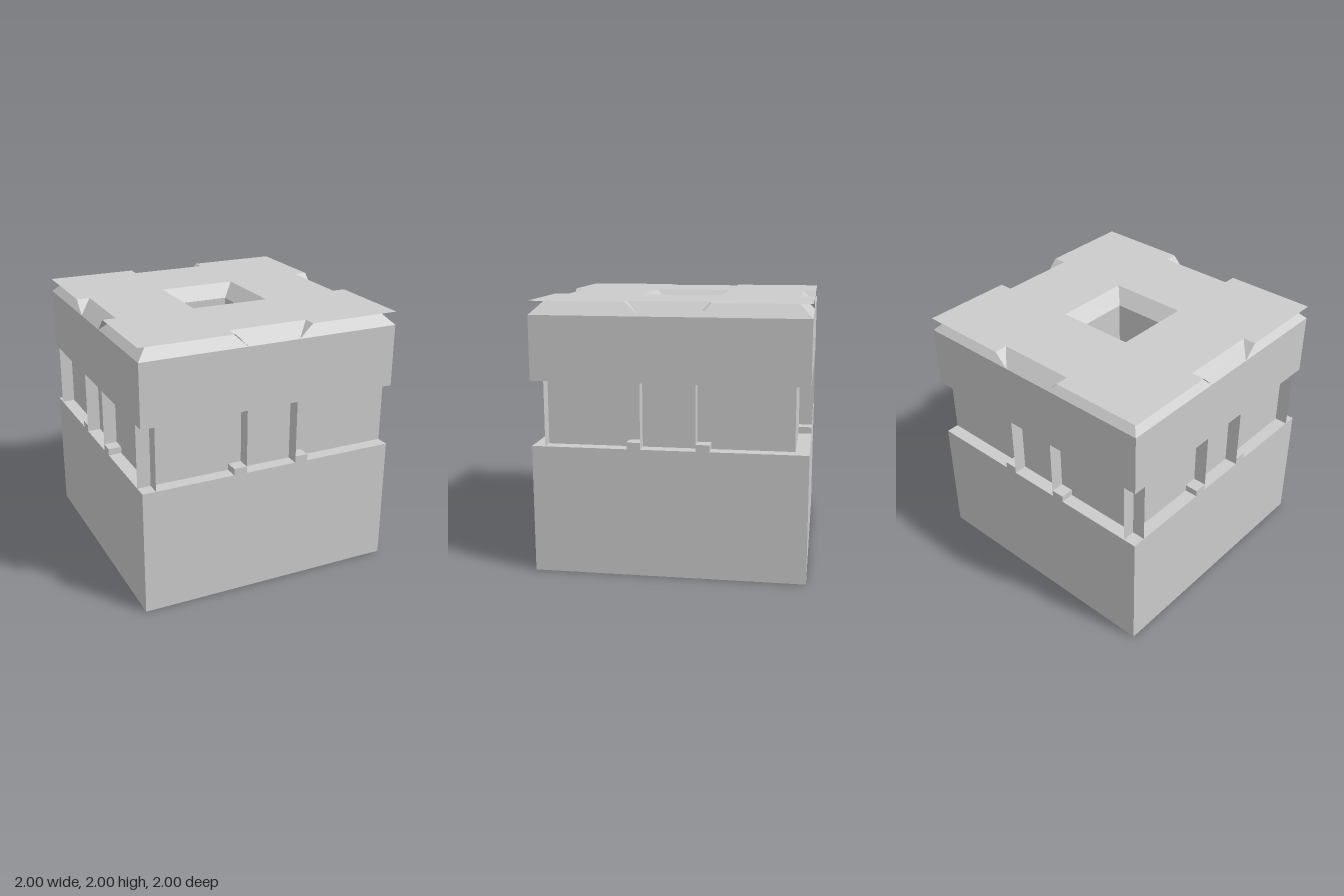
import * as THREE from 'three';

const solid = new THREE.MeshStandardMaterial({ color: 0xcccccc, flatShading: true });
const thin = new THREE.MeshStandardMaterial({ color: 0xcccccc, flatShading: true, side: THREE.DoubleSide });

function add(parent, name, geometry, material, x = 0, y = 0, z = 0) {
  const mesh = new THREE.Mesh(geometry, material);
  mesh.name = name;
  mesh.position.set(x, y, z);
  parent.add(mesh);
  return mesh;
}

function square(half, Type = THREE.Shape) {
  return new Type([[-half, -half], [half, -half], [half, half], [-half, half]]
    .map(([x, y]) => new THREE.Vector2(x, y)));
}

// Square block pierced by a square shaft
function piercedBlock(half, holeHalf, y0, y1) {
  const shape = square(half);
  shape.holes.push(square(holeHalf, THREE.Path));
  return new THREE.ExtrudeGeometry(shape, { depth: y1 - y0, bevelEnabled: false })
    .rotateX(-Math.PI / 2).translate(0, y0, 0);
}

// Open four-sided sloping band
function slopedBand(bottomHalf, topHalf, y0, y1) {
  return new THREE.CylinderGeometry(topHalf * Math.SQRT2, bottomHalf * Math.SQRT2, y1 - y0, 4, 1, true)
    .rotateY(Math.PI / 4).translate(0, (y0 + y1) / 2, 0);
}

// Flat top sheet with a notch in each edge and a central opening
function topSheet() {
  const points = [];
  for (let k = 0; k < 4; k++) {
    for (const [x, y] of [[1, -1], [1, -0.3], [0.9, -0.3], [0.9, 0.3], [1, 0.3]]) {
      points.push(new THREE.Vector2(x, y).rotateAround(new THREE.Vector2(), k * Math.PI / 2));
    }
  }
  const shape = new THREE.Shape(points);
  shape.holes.push(square(0.3, THREE.Path));
  return new THREE.ShapeGeometry(shape).rotateX(-Math.PI / 2).translate(0, 2, 0);
}

// Sloping triangular cheek at one end of a notch
function notchCheek(s) {
  const geometry = new THREE.BufferGeometry();
  const p = [0.3 * s, 2, 0.9, 0.2 * s, 1.9, 1, 0.3 * s, 2, 1];
  geometry.setAttribute('position', new THREE.Float32BufferAttribute(p, 3));
  geometry.setIndex(s > 0 ? [0, 1, 2] : [0, 2, 1]);
  geometry.computeVertexNormals();
  return geometry;
}

export function createModel() {
  const model = new THREE.Group();
  model.name = 'block';

  // Stacked body
  add(model, 'base', new THREE.BoxGeometry(2, 0.95, 2), solid, 0, 0.475, 0);
  add(model, 'recessedCore', piercedBlock(0.9, 0.2, 0.95, 1.43), solid);
  add(model, 'upperSlab', piercedBlock(1, 0.2, 1.43, 1.9), solid);

  // Chamfer under the top sheet, and the central shaft
  add(model, 'chamfer', slopedBand(1, 0.9, 1.9, 2), solid);
  add(model, 'topSheet', topSheet(), thin);
  add(model, 'shaftMouth', slopedBand(0.2, 0.3, 1.9, 2), thin);
  add(model, 'shaftFoot', slopedBand(0.1, 0.2, 0.95, 1.05), thin);

  // Fins, sills and notch cheeks on each side
  const fin = new THREE.PlaneGeometry(0.1, 0.48).rotateY(Math.PI / 2);
  const sill = new THREE.BoxGeometry(0.1, 0.05, 0.1);
  const cornerFins = [[-0.9], [-0.9, 0.9], [0.9], [-0.9, 0.9]];
  cornerFins.forEach((corners, k) => {
    const side = new THREE.Group();
    side.name = ['frontSide', 'leftSide', 'backSide', 'rightSide'][k];
    side.rotation.y = k * Math.PI / 2;
    for (const x of corners) add(side, 'cornerFin', fin, thin, x, 1.19, 0.95);
    for (const s of [-1, 1]) {
      add(side, 'fin', fin, thin, 0.2 * s, 1.19, 0.95);
      add(side, 'sill', sill, solid, 0.25 * s, 0.975, 0.95);
      add(side, 'notchCheek', notchCheek(s), thin);
    }
    model.add(side);
  });
  return model;
}
